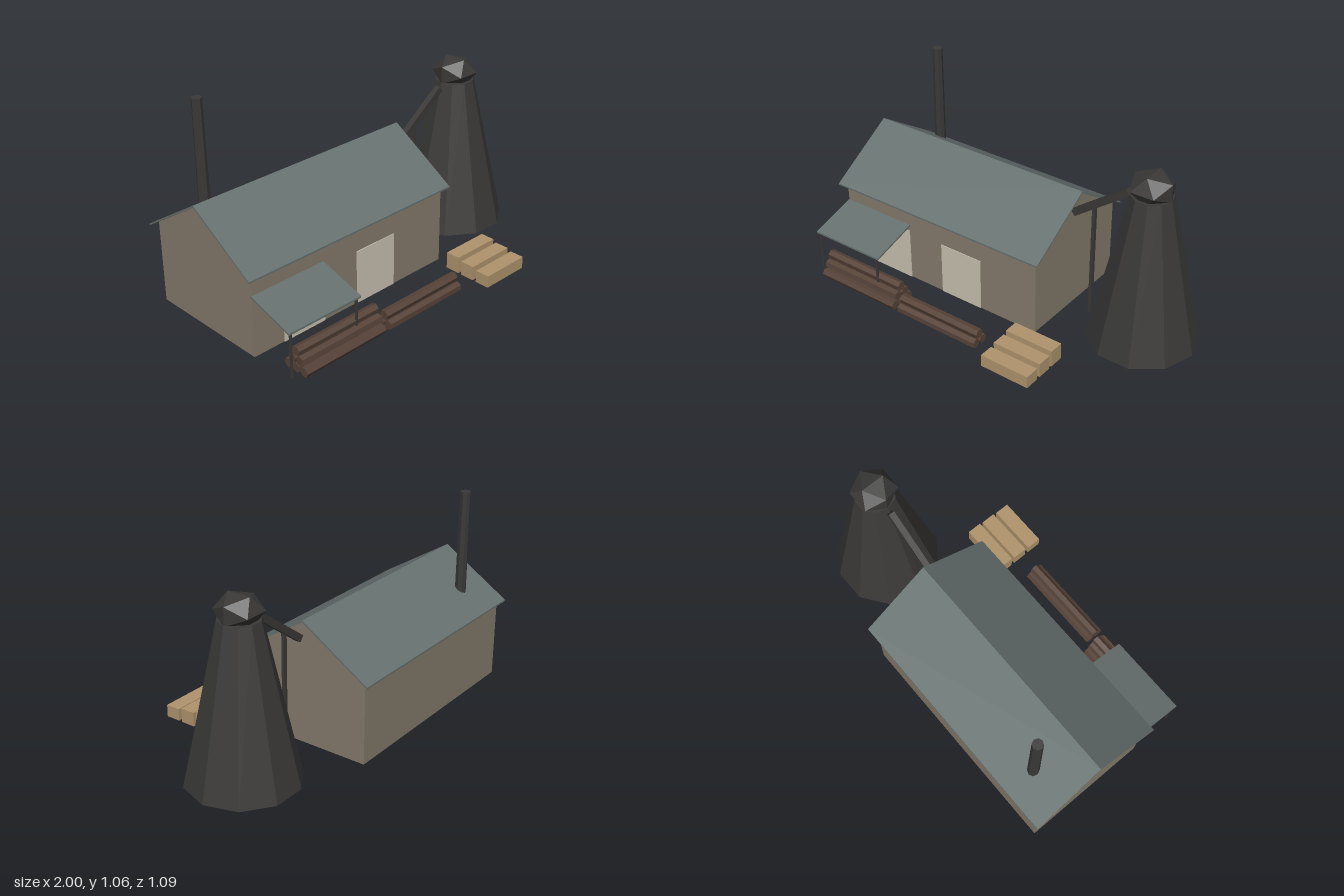
import * as THREE from 'three';

const mat = (color) => new THREE.MeshStandardMaterial({ color, flatShading: true });
const M = {
  wall: mat(0x857b6c), roof: mat(0x66716f), door: mat(0xc8c2b0), iron: mat(0x3a3938),
  log: mat(0x574338), crate: mat(0xb0946c),
};

export function createModel() {
  const model = new THREE.Group();

  const add = (name, geometry, material, x = 0, y = 0, z = 0, parent = model) => {
    const mesh = new THREE.Mesh(geometry, material);
    mesh.name = name;
    mesh.position.set(x, y, z);
    parent.add(mesh);
    return mesh;
  };
  const box = (name, w, h, d, material, x, y, z, parent) =>
    add(name, new THREE.BoxGeometry(w, h, d), material, x, y, z, parent);

  // Extrudes a [z, y] outline along x from x0 to x1
  const prism = (name, outline, x0, x1, material) => {
    const shape = new THREE.Shape(outline.map(([z, y]) => new THREE.Vector2(-z, y)));
    const geometry = new THREE.ExtrudeGeometry(shape, { depth: x1 - x0, bevelEnabled: false });
    geometry.rotateY(Math.PI / 2);
    return add(name, geometry, material, x0);
  };

  // Mill shed with gabled ends and a thin overhanging roof
  prism('shedWalls', [[0.17, 0], [-0.515, 0], [-0.515, 0.437], [-0.173, 0.655], [0.17, 0.437]],
    -0.965, 0.275, M.wall);
  prism('shedRoof', [[0.203, 0.42], [-0.173, 0.655], [-0.545, 0.42], [-0.545, 0.429],
    [-0.173, 0.666], [0.203, 0.429]], -1, 0.305, M.roof);

  // Doors on the front wall
  for (const x of [-0.66, -0.192]) box('door', 0.253, 0.29, 0.01, M.door, x, 0.145, 0.169);

  // Lean-to awning on two posts
  prism('awningRoof', [[0.165, 0.317], [0.165, 0.328], [0.423, 0.25], [0.423, 0.24]],
    -0.967, -0.533, M.roof);
  for (const x of [-0.95, -0.553]) box('awningPost', 0.01, 0.243, 0.01, M.iron, x, 0.1215, 0.411);

  // Smoke stack
  add('smokeStack', new THREE.CylinderGeometry(0.027, 0.03, 0.59, 8), M.iron, -0.783, 0.767, -0.39);

  // Ten-sided conical waste burner with a faceted cap
  const burner = new THREE.Group();
  burner.name = 'wasteBurner';
  burner.position.set(0.71, 0, -0.14);
  burner.rotation.y = Math.PI / 2;
  model.add(burner);
  add('burnerCone', new THREE.CylinderGeometry(0.105, 0.285, 0.81, 10), M.iron, 0, 0.405, 0, burner);
  add('burnerCap', new THREE.IcosahedronGeometry(0.12, 0), M.iron, 0, 0.85, 0, burner).scale.y = 0.735;

  // Sloping conveyor from the shed to the burner, with its support post
  const low = new THREE.Vector2(0.285, 0.56), high = new THREE.Vector2(0.59, 0.785);
  const run = high.clone().sub(low);
  box('conveyor', run.length(), 0.036, 0.032, M.iron,
    (low.x + high.x) / 2, (low.y + high.y) / 2, -0.14).rotation.z = run.angle();
  box('conveyorPost', 0.018, 0.635, 0.018, M.iron, 0.4, 0.3175, -0.14);

  // Stacked logs: each row holds one log fewer than the row below
  const logPile = (name, x, z, bottomCount) => {
    const pile = new THREE.Group();
    pile.name = name;
    model.add(pile);
    for (let row = 0; row < bottomCount; row++) {
      const count = bottomCount - row;
      for (let i = 0; i < count; i++) {
        const log = add('log', new THREE.CylinderGeometry(0.026, 0.026, 0.495, 6), M.log,
          x, 0.025 + row * 0.0445, z + (i - (count - 1) / 2) * 0.052, pile);
        log.rotation.set(row * 0.9 + i * 0.5, 0, Math.PI / 2);
      }
    }
  };
  logPile('tallLogPile', -0.658, 0.389, 3);
  logPile('lowLogPile', -0.13, 0.415, 2);

  // Lumber stacks on short runners
  [[0.308, 0.1], [0.405, 0.087], [0.505, 0.075]].forEach(([z, top]) => {
    box('lumberStack', 0.273, top - 0.01, 0.079, M.crate, 0.365, (top + 0.01) / 2, z);
    for (const side of [-1, 1])
      box('runner', 0.022, 0.01, 0.068, M.iron, 0.365 + side * 0.11, 0.005, z);
  });

  return model;
}
